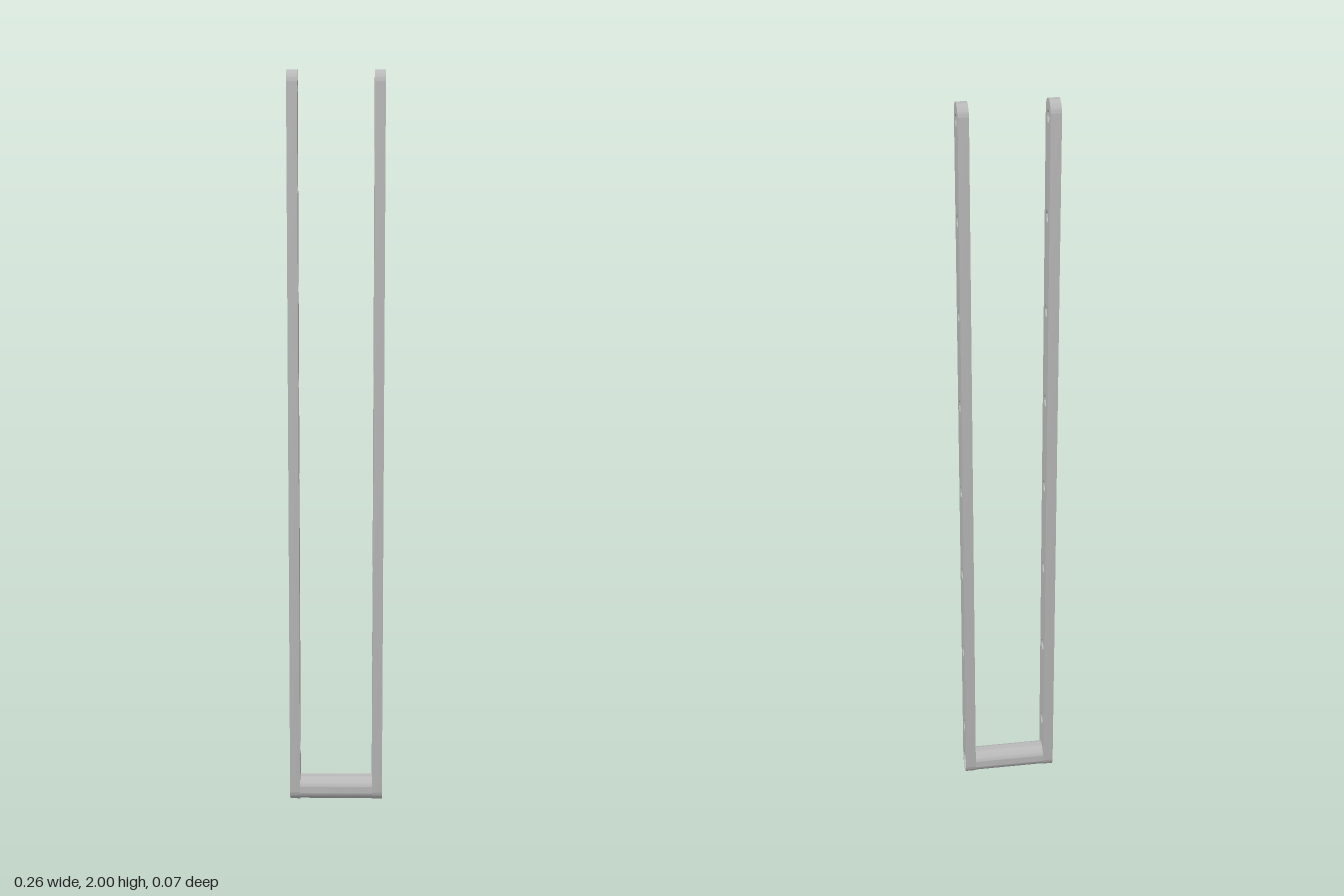
import * as THREE from 'three';
import { toCreasedNormals } from 'three/addons/utils/BufferGeometryUtils.js';

const R = 0.035;        // half width of the arms
const BORE = 0.028;     // inner radius of the cross tube
const HALF = 0.128;     // half of the overall span
const THICK = 0.028;    // arm thickness

function circleHole(y, r) {
  const hole = new THREE.Path();
  hole.absarc(0, y, r, 0, Math.PI * 2, true);
  return hole;
}

// Flat bar with rounded ends, a row of holes and a bore at the foot
function armGeometry() {
  const shape = new THREE.Shape();
  shape.absarc(0, 2 - R, R, 0, Math.PI, false);
  shape.absarc(0, R, R, Math.PI, Math.PI * 2, false);
  shape.closePath();
  shape.holes.push(circleHole(R, BORE));
  for (let i = 0; i < 8; i++) shape.holes.push(circleHole(0.157 + i * 0.2569, 0.016));
  const geo = new THREE.ExtrudeGeometry(shape, { depth: THICK, bevelEnabled: false, curveSegments: 24 });
  geo.translate(0, 0, -THICK / 2).rotateY(Math.PI / 2);
  return toCreasedNormals(geo, 0.6);
}

export function createModel() {
  const group = new THREE.Group();
  group.name = 'uFrame';
  const steel = new THREE.MeshStandardMaterial({ color: 0xb8b8b8 });
  steel.name = 'greySteel';

  // Two matching arms
  const geo = armGeometry();
  for (const [name, side] of [['leftArm', 1], ['rightArm', -1]]) {
    const arm = new THREE.Mesh(geo, steel);
    arm.name = name;
    arm.position.x = side * (HALF - THICK / 2);
    group.add(arm);
  }

  // Hollow tube joining the feet, open at both ends
  const ring = new THREE.Shape();
  ring.absarc(0, 0, 0.0335, 0, Math.PI * 2, false);
  ring.holes.push(circleHole(0, BORE));
  const length = 2 * (HALF - THICK);
  const tubeGeo = new THREE.ExtrudeGeometry(ring, { depth: length, bevelEnabled: false, curveSegments: 48 });
  tubeGeo.translate(0, 0, -length / 2).rotateY(Math.PI / 2);
  const tube = new THREE.Mesh(toCreasedNormals(tubeGeo, 0.6), steel);
  tube.name = 'crossTube';
  tube.position.y = R;
  group.add(tube);

  return group;
}
